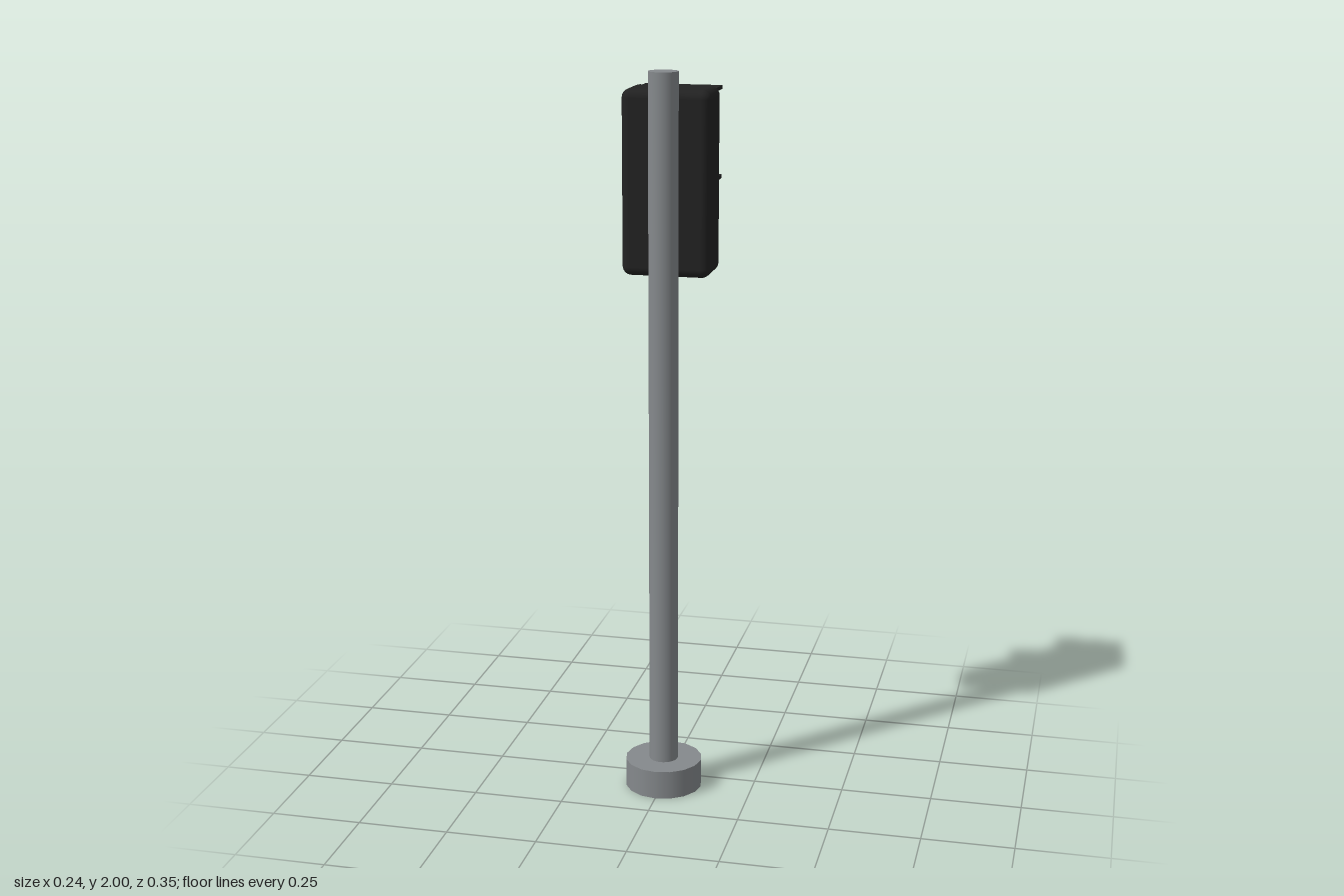
import * as THREE from 'three';
import { RoundedBoxGeometry } from 'three/addons/geometries/RoundedBoxGeometry.js';

export function createModel() {
  const model = new THREE.Group();
  model.name = 'pedestrianSignal';

  const material = (name, color) => {
    const m = new THREE.MeshStandardMaterial({ color });
    m.name = name;
    return m;
  };
  const grey = material('galvanised grey', 0x85898c);
  const black = material('housing black', 0x222222);
  const red = material('signal red', 0x7a0a0a);
  const green = material('signal green', 0x084028);

  const add = (parent, name, geometry, mat, x, y, z) => {
    const mesh = new THREE.Mesh(geometry, mat);
    mesh.name = name;
    mesh.position.set(x, y, z);
    parent.add(mesh);
    return mesh;
  };

  // Pole and foot, standing behind the lamp housing
  const poleZ = 0.065;
  add(model, 'base', new THREE.CylinderGeometry(0.107, 0.107, 0.08, 16), grey, 0, 0.04, poleZ);
  add(model, 'pole', new THREE.CylinderGeometry(0.04, 0.04, 1.92, 32), grey, 0, 1.04, poleZ);

  // Housing
  add(model, 'housing', new RoundedBoxGeometry(0.24, 0.495, 0.147, 4, 0.024), black, 0, 1.7025, -0.0215);

  // Lamp panels with a visor above each
  for (const [name, y] of [['upper', 1.825], ['lower', 1.585]]) {
    add(model, name + 'Panel', new RoundedBoxGeometry(0.2, 0.215, 0.02, 2, 0.006), black, 0, y - 0.006, -0.09);
    add(model, name + 'Visor', new THREE.BoxGeometry(0.213, 0.01, 0.085), black, 0, y + 0.112, -0.1325);
  }

  // Figures are drawn facing +z, then turned to the lamp side
  const figure = (name, y, mat, limbs) => {
    const group = new THREE.Group();
    group.name = name;
    group.position.set(0, y, -0.101);
    group.rotation.y = Math.PI;
    const head = add(group, 'head', new THREE.CylinderGeometry(0.015, 0.015, 0.008, 16), mat, 0, 0.07, 0);
    head.rotation.x = Math.PI / 2;
    // Each limb is a thin bar between two points: x1, y1, x2, y2, width
    for (const [part, x1, y1, x2, y2, w] of limbs) {
      const length = Math.hypot(x2 - x1, y2 - y1);
      const bar = add(group, part, new THREE.BoxGeometry(w, length + w * 0.4, 0.008), mat,
        (x1 + x2) / 2, (y1 + y2) / 2, 0);
      bar.rotation.z = Math.atan2(y2 - y1, x2 - x1) - Math.PI / 2;
    }
    model.add(group);
  };

  // Standing figure
  const standing = [['torso', 0, 0.048, 0, -0.005, 0.03]];
  for (const s of [-1, 1]) {
    standing.push(['arm', s * 0.016, 0.046, s * 0.026, 0.02, 0.01]);
    standing.push(['forearm', s * 0.026, 0.02, s * 0.024, -0.006, 0.009]);
    standing.push(['leg', s * 0.008, -0.005, s * 0.008, -0.08, 0.012]);
  }
  figure('standingFigure', 1.815, red, standing);

  // Walking figure
  figure('walkingFigure', 1.575, green, [
    ['torso', 0, 0.047, 0, -0.008, 0.026],
    ['frontArm', 0.01, 0.045, 0.025, 0.018, 0.01],
    ['frontForearm', 0.025, 0.018, 0.037, 0.006, 0.009],
    ['backArm', -0.01, 0.045, -0.026, 0.02, 0.01],
    ['backForearm', -0.026, 0.02, -0.028, -0.004, 0.009],
    ['frontThigh', 0.005, -0.008, 0.02, -0.042, 0.014],
    ['frontShin', 0.02, -0.042, 0.027, -0.082, 0.011],
    ['backThigh', -0.005, -0.008, -0.013, -0.045, 0.014],
    ['backShin', -0.013, -0.045, -0.032, -0.08, 0.011],
  ]);

  return model;
}
